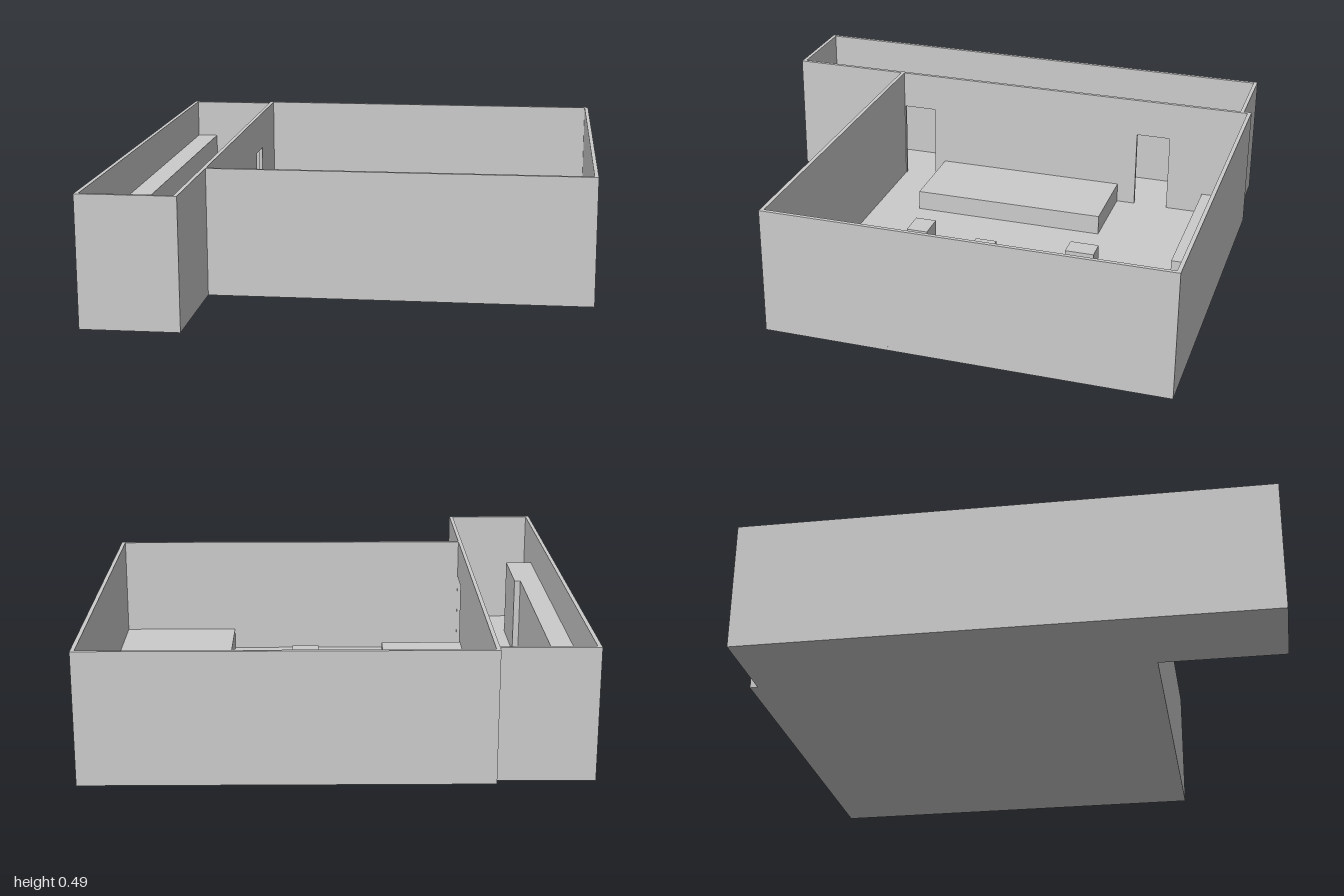
import * as THREE from 'three';

const material = new THREE.MeshStandardMaterial({ color: 0xcccccc, flatShading: true });
const HEIGHT = 0.49, FLOOR = 0.015, T = 0.015;

// Box between two corners
function block(name, x0, x1, y0, y1, z0, z1) {
  const mesh = new THREE.Mesh(new THREE.BoxGeometry(x1 - x0, y1 - y0, z1 - z0), material);
  mesh.position.set((x0 + x1) / 2, (y0 + y1) / 2, (z0 + z1) / 2);
  mesh.name = name;
  return mesh;
}

// Shape drawn on the floor plan as [x, z] points, extruded upward from y0 to y1
function slab(name, points, y0, y1) {
  const shape = new THREE.Shape(points.map(([x, z]) => new THREE.Vector2(x, -z)));
  const geometry = new THREE.ExtrudeGeometry(shape, { depth: y1 - y0, bevelEnabled: false });
  geometry.rotateX(-Math.PI / 2).translate(0, y0, 0);
  const mesh = new THREE.Mesh(geometry, material);
  mesh.name = name;
  return mesh;
}

// Wall between room and corridor, cut by doorways that reach the floor
function dividingWall(x1, z0, z1, doors, doorTop) {
  const shape = new THREE.Shape();
  shape.moveTo(z0, FLOOR);
  for (const [a, b] of doors) {
    shape.lineTo(a, FLOOR);
    shape.lineTo(a, doorTop);
    shape.lineTo(b, doorTop);
    shape.lineTo(b, FLOOR);
  }
  shape.lineTo(z1, FLOOR);
  shape.lineTo(z1, HEIGHT);
  shape.lineTo(z0, HEIGHT);
  const geometry = new THREE.ExtrudeGeometry(shape, { depth: T, bevelEnabled: false });
  geometry.rotateY(-Math.PI / 2).translate(x1, 0, 0);
  const mesh = new THREE.Mesh(geometry, material);
  mesh.name = 'dividingWall';
  return mesh;
}

export function createModel() {
  const group = new THREE.Group();
  group.name = 'roomWithCorridor';

  // Floor under room and corridor
  group.add(slab('floor', [
    [-0.91, -0.97], [-0.56, -0.97], [-0.56, -1], [0.905, -1],
    [0.905, 0.53], [-0.545, 0.53], [-0.545, 1], [-0.91, 1],
  ], 0, FLOOR));

  // Outer walls
  const walls = [
    ['roomBackWall', -0.545, 0.905, -1, -1 + T],
    ['roomFrontWall', -0.545, 0.905, 0.53 - T, 0.53],
    ['roomLeftWall', 0.905 - T, 0.905, -1 + T, 0.53 - T],
    ['corridorRightWall', -0.91, -0.91 + T, -0.97, 1],
    ['corridorBackWall', -0.91 + T, -0.56, -0.97, -0.97 + T],
    ['corridorFrontWall', -0.91 + T, -0.56, 1 - T, 1],
  ];
  for (const [name, x0, x1, z0, z1] of walls) group.add(block(name, x0, x1, FLOOR, HEIGHT, z0, z1));
  group.add(dividingWall(-0.545, -1, 1, [[-0.67, -0.53], [0.375, 0.512]], 0.335));

  // Low platforms in the room
  group.add(block('backCounter', -0.545, 0.09, FLOOR, 0.1, -0.985, -0.82));
  group.add(block('sidePlatform', -0.545, -0.21, FLOOR, 0.095, -0.455, 0.33));
  group.add(slab('cornerPlatform', [
    [0.32, -0.985], [0.89, -0.985], [0.89, 0.515], [0.425, 0.515], [0.425, -0.66], [0.32, -0.66],
  ], FLOOR, 0.1));

  // Free-standing stools
  const stools = [[0.07, 0.155, -0.525, -0.41], [0.16, 0.27, -0.13, -0.045], [0.06, 0.17, 0.16, 0.245]];
  for (const [x0, x1, z0, z1] of stools) group.add(block('stool', x0, x1, FLOOR, 0.11, z0, z1));

  // Tall cabinet along the corridor, deeper at its front end
  group.add(slab('corridorCabinet', [
    [-0.895, -0.955], [-0.81, -0.955], [-0.81, 0.45], [-0.785, 0.45], [-0.785, 0.755], [-0.895, 0.755],
  ], FLOOR, 0.333));

  return group;
}
